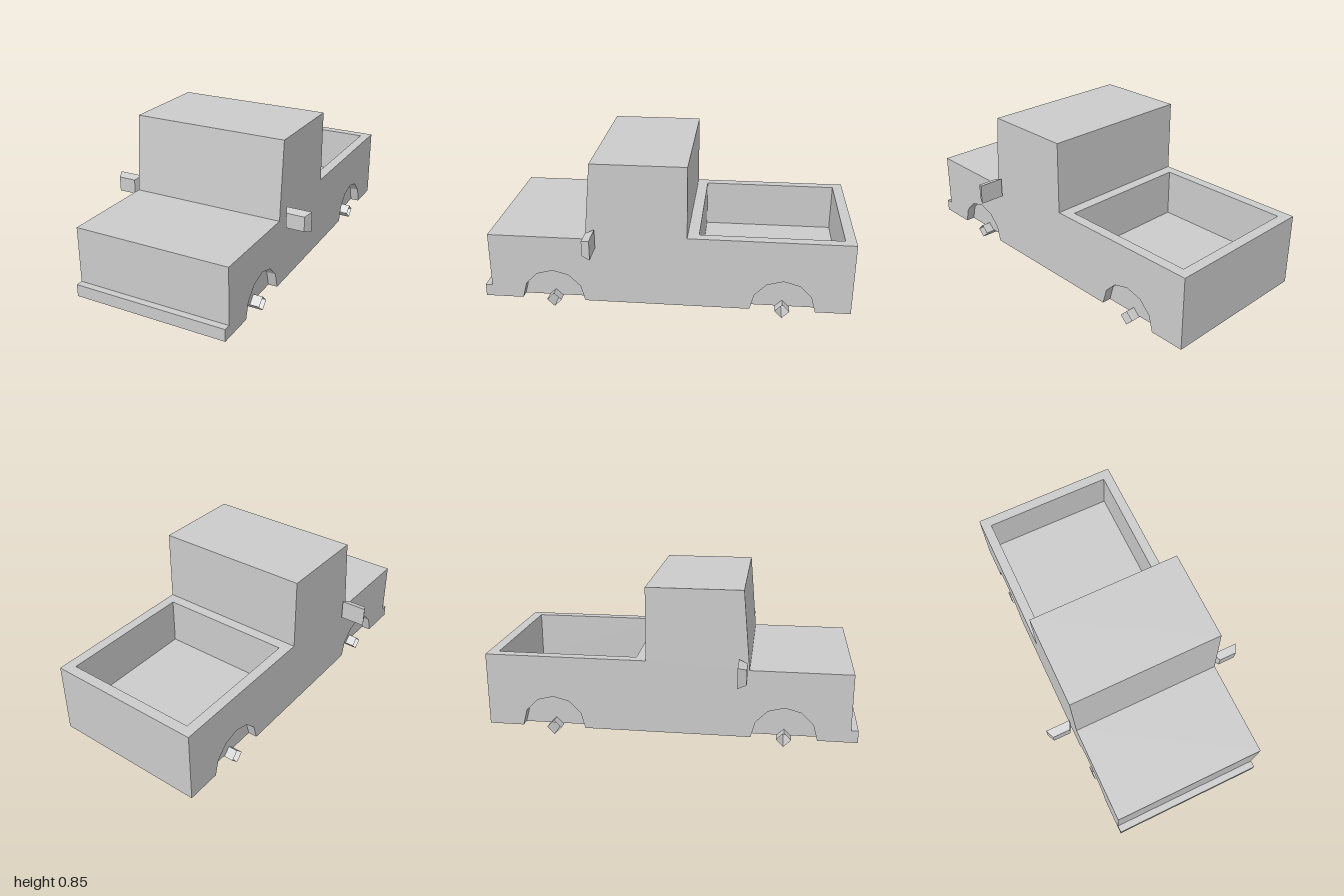
import * as THREE from 'three';
import { mergeGeometries } from 'three/addons/utils/BufferGeometryUtils.js';

const HALF = 0.433, BASE = 0.045, ARCH_R = 0.175, ARCH_IN = 0.383;
const ARCHES = [0.615, -0.635]; // wheel centres along z
const BED = { x: 0.377, back: -0.943, front: -0.18, floor: 0.18, rim: 0.448 };

const v = (x, y, z) => new THREE.Vector3(x, y, z);

// Flat polygon (optionally with holes) whose front looks along the given normal
function face(points, normal, holes = []) {
  const n = normal.clone().normalize();
  const a = Math.abs(n.x) > 0.7 ? ['z', 'y'] : Math.abs(n.y) > 0.7 ? ['x', 'z'] : ['x', 'y'];
  const flat = list => list.map(p => new THREE.Vector2(p[a[0]], p[a[1]]));
  const orient = (list, ccw) => (THREE.ShapeUtils.area(flat(list)) > 0) === ccw ? list : [...list].reverse();
  const outer = orient(points, true), inner = holes.map(h => orient(h, false));
  const all = [outer, ...inner].flat(), pos = [];
  for (const [i, j, k] of THREE.ShapeUtils.triangulateShape(flat(outer), inner.map(flat))) {
    const p = all[i], q = all[j], r = all[k];
    const up = q.clone().sub(p).cross(r.clone().sub(p)).dot(n) > 0;
    for (const c of up ? [p, q, r] : [p, r, q]) pos.push(c.x, c.y, c.z);
  }
  const g = new THREE.BufferGeometry();
  g.setAttribute('position', new THREE.Float32BufferAttribute(pos, 3));
  g.computeVertexNormals();
  return g;
}

// Twelve-sided half arch, from front to back, as [z, y]
const archPoints = c => Array.from({ length: 7 }, (_, i) => {
  const t = i * Math.PI / 6;
  return [c + ARCH_R * Math.cos(t), BASE + ARCH_R * Math.sin(t)];
});

function bodyGeometry() {
  const parts = [];
  // Upper outline from front bumper to tailgate, as [z, y]
  const top = [[1, BASE], [1, 0.112], [0.962, 0.112], [0.962, 0.42], [0.426, 0.42],
    [0.388, 0.845], [-0.12, 0.845], [-0.12, BED.rim], [-1, BED.rim], [-1, BASE]];
  const rect = (x, y, z0, z1) => [v(-x, y, z0), v(x, y, z0), v(x, y, z1), v(-x, y, z1)];
  const hole = rect(BED.x, BED.rim, BED.back, BED.front);

  // Panels across the width: bumper, bonnet, windscreen, roof, bed rim, tailgate
  for (let i = 0; i < top.length - 1; i++) {
    const [z0, y0] = top[i], [z1, y1] = top[i + 1];
    const quad = [v(-HALF, y0, z0), v(HALF, y0, z0), v(HALF, y1, z1), v(-HALF, y1, z1)];
    parts.push(face(quad, v(0, z0 - z1, y1 - y0), i === 7 ? [hole] : []));
  }

  // Load bed floor and walls
  parts.push(face(rect(BED.x, BED.floor, BED.back, BED.front), v(0, 1, 0)));
  for (let i = 0; i < 4; i++) {
    const p = hole[i], q = hole[(i + 1) % 4];
    const drop = c => v(c.x, BED.floor, c.z);
    const inward = v(0, 0, (BED.back + BED.front) / 2).sub(p.clone().add(q).multiplyScalar(0.5)).setY(0);
    parts.push(face([p, q, drop(q), drop(p)], inward));
  }

  // Underside with notches at the wheel arches
  const edge = [[HALF, 1]];
  for (const c of ARCHES) {
    edge.push([HALF, c + ARCH_R], [ARCH_IN, c + ARCH_R], [ARCH_IN, c - ARCH_R], [HALF, c - ARCH_R]);
  }
  edge.push([HALF, -1]);
  const mirrored = edge.map(([x, z]) => [-x, z]).reverse();
  parts.push(face([...edge, ...mirrored].map(([x, z]) => v(x, BASE, z)), v(0, -1, 0)));

  // Sides, arch linings and arch back walls
  const outline = [...top, ...[...ARCHES].reverse().flatMap(c => archPoints(c).reverse())];
  for (const s of [-1, 1]) {
    parts.push(face(outline.map(([z, y]) => v(s * HALF, y, z)), v(s, 0, 0)));
    for (const c of ARCHES) {
      const arch = archPoints(c);
      parts.push(face(arch.map(([z, y]) => v(s * ARCH_IN, y, z)), v(s, 0, 0)));
      for (let i = 0; i < 6; i++) {
        const [z0, y0] = arch[i], [z1, y1] = arch[i + 1];
        const quad = [v(s * HALF, y0, z0), v(s * HALF, y1, z1), v(s * ARCH_IN, y1, z1), v(s * ARCH_IN, y0, z0)];
        parts.push(face(quad, v(0, BASE - (y0 + y1) / 2, c - (z0 + z1) / 2)));
      }
    }
  }
  return mergeGeometries(parts);
}

// Tapered mirror housing, smaller towards the front
function mirrorGeometry() {
  const g = new THREE.BoxGeometry(0.141, 0.11, 0.046);
  const p = g.attributes.position;
  for (let i = 0; i < p.count; i++) {
    if (p.getZ(i) > 0) p.setXY(i, p.getX(i) * 0.71, p.getY(i) * 0.745);
  }
  g.computeVertexNormals();
  return g;
}

export function createModel() {
  const group = new THREE.Group();
  const material = new THREE.MeshStandardMaterial({ color: 0xcccccc, flatShading: true });
  const tubeMaterial = material.clone();
  tubeMaterial.side = THREE.DoubleSide;

  const add = (name, geometry, mat, x, y, z) => {
    const mesh = new THREE.Mesh(geometry, mat);
    mesh.name = name;
    mesh.position.set(x, y, z);
    group.add(mesh);
    return mesh;
  };

  add('body', bodyGeometry(), material, 0, 0, 0);

  // Open square axles set on edge
  const axle = new THREE.CylinderGeometry(0.04, 0.04, 0.872, 4, 1, true).rotateZ(Math.PI / 2);
  ARCHES.forEach((z, i) => add(i ? 'rearAxle' : 'frontAxle', axle, tubeMaterial, 0, 0.04, z));

  // Side mirrors
  const mirror = mirrorGeometry();
  add('leftMirror', mirror, material, 0.516, 0.428, 0.394);
  add('rightMirror', mirror, material, -0.516, 0.428, 0.394);

  return group;
}
